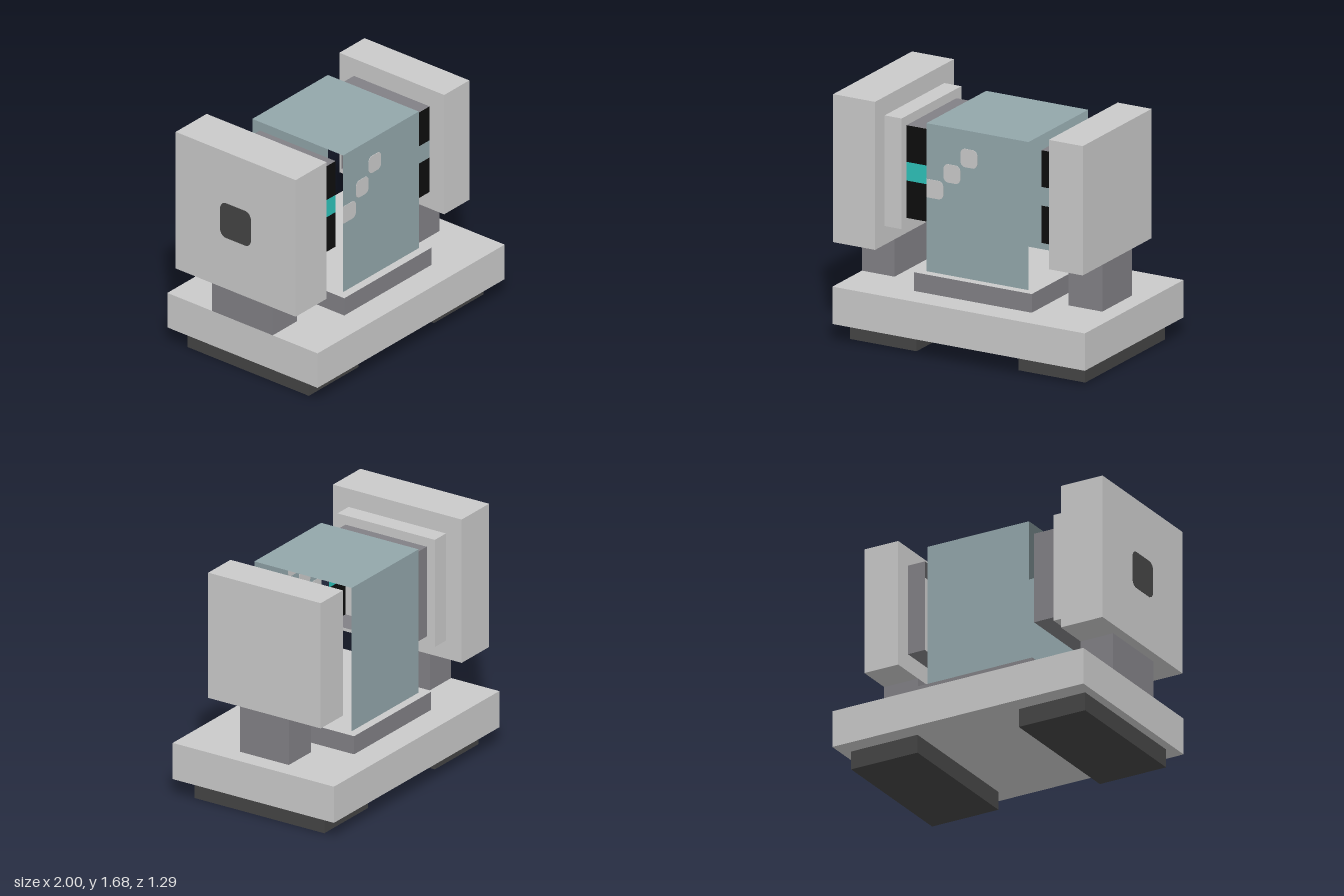
import * as THREE from 'three';

const mat = (name, color, side = THREE.FrontSide) => {
  const m = new THREE.MeshStandardMaterial({ color, side });
  m.name = name;
  return m;
};

export function createModel() {
  const model = new THREE.Group();
  const light = mat('lightGrey', 0xc9c9c9);
  const grey = mat('midGrey', 0x818085, THREE.DoubleSide);
  const dark = mat('charcoal', 0x444444);
  const blue = mat('greyBlue', 0x92a6aa, THREE.DoubleSide);
  const black = mat('black', 0x0d0d0d, THREE.DoubleSide);
  const teal = mat('teal', 0x2dc0b8, THREE.DoubleSide);

  const add = (name, geometry, material) => {
    const mesh = new THREE.Mesh(geometry, material);
    mesh.name = name;
    model.add(mesh);
    return mesh;
  };
  // Box given by its x and y ranges and half depth
  const boxGeometry = (x0, x1, y0, y1, z) =>
    new THREE.BoxGeometry(x1 - x0, y1 - y0, 2 * z).translate((x0 + x1) / 2, (y0 + y1) / 2, 0);
  const box = (name, material, ...range) => add(name, boxGeometry(...range), material);

  // Keeps only chosen box faces: 0 +x, 1 -x, 2 +y, 3 -y, 4 +z, 5 -z
  const shell = (name, material, faces, ...range) => {
    const g = boxGeometry(...range);
    const index = Array.from(g.index.array);
    g.setIndex(faces.flatMap((f) => index.slice(f * 6, f * 6 + 6)));
    g.clearGroups();
    return add(name, g, material);
  };

  // Feet and base
  box('rightFoot', dark, -0.87, -0.36, 0, 0.13, 0.52);
  box('leftFoot', dark, 0.42, 0.93, 0, 0.13, 0.52);
  box('base', light, -0.93, 1, 0.13, 0.39, 0.645);

  // Plinth with a pale top
  box('plinth', [grey, grey, light, grey, grey, grey], -0.42, 0.48, 0.39, 0.52, 0.45);

  // End plates on posts
  box('rightPost', grey, -0.93, -0.68, 0.39, 0.65, 0.26);
  box('rightEndPlate', light, -1, -0.68, 0.65, 1.68, 0.515);
  box('rightInnerPlate', light, -0.68, -0.55, 0.78, 1.55, 0.39);
  box('leftPost', grey, 0.61, 0.87, 0.39, 0.715, 0.195);
  box('leftEndPlate', light, 0.61, 0.87, 0.715, 1.615, 0.45);

  // Central housing, open at both ends
  shell('housing', blue, [2, 4, 5], -0.36, 0.42, 0.52, 1.55, 0.39);

  // Couplings: open sleeves with a banded front
  const coupling = (name, x0, x1, stripe) => {
    shell(name + 'Sleeve', grey, [2, 3, 5], x0, x1, 0.84, 1.485, 0.325);
    shell(name + 'LowerBand', black, [4], x0, x1, 0.84, 1.1, 0.325);
    shell(name + 'Stripe', stripe, [4], x0, x1, 1.1, 1.23, 0.325);
    shell(name + 'UpperBand', black, [4], x0, x1, 1.23, 1.485, 0.325);
  };
  coupling('rightCoupling', -0.55, -0.36, teal);
  coupling('leftCoupling', 0.48, 0.61, blue);

  // Thin plate with clipped corners, centred on its origin
  const clippedPlate = (size, cut, leftCut = cut) => {
    const h = size / 2;
    const s = new THREE.Shape();
    s.moveTo(-h + leftCut, -h);
    s.lineTo(h - cut, -h);
    s.quadraticCurveTo(h - cut * 0.2, -h + cut * 0.2, h, -h + cut);
    s.lineTo(h, h - cut);
    s.quadraticCurveTo(h - cut * 0.2, h - cut * 0.2, h - cut, h);
    s.lineTo(-h + leftCut, h);
    s.quadraticCurveTo(-h + leftCut * 0.2, h - leftCut * 0.2, -h, h - leftCut);
    s.lineTo(-h, -h + leftCut);
    s.quadraticCurveTo(-h + leftCut * 0.2, -h + leftCut * 0.2, -h + leftCut, -h);
    return new THREE.ExtrudeGeometry(s, { depth: 0.006, bevelEnabled: false, curveSegments: 3 })
      .translate(0, 0, -0.003);
  };

  // Rising diagonal of pale spots through the front wall
  for (let i = 0; i < 3; i++) {
    add('frontSpot' + (i + 1), clippedPlate(0.128, 0.03, i ? 0.03 : 0.0001), light)
      .position.set(-0.295 + i * 0.13, 1.1 + i * 0.129, 0.39);
  }

  // Dark cap on the outer end plate
  const cap = add('endCap', clippedPlate(0.26, 0.04), dark);
  cap.rotation.y = -Math.PI / 2;
  cap.position.set(-1, 1.165, 0);

  return model;
}
